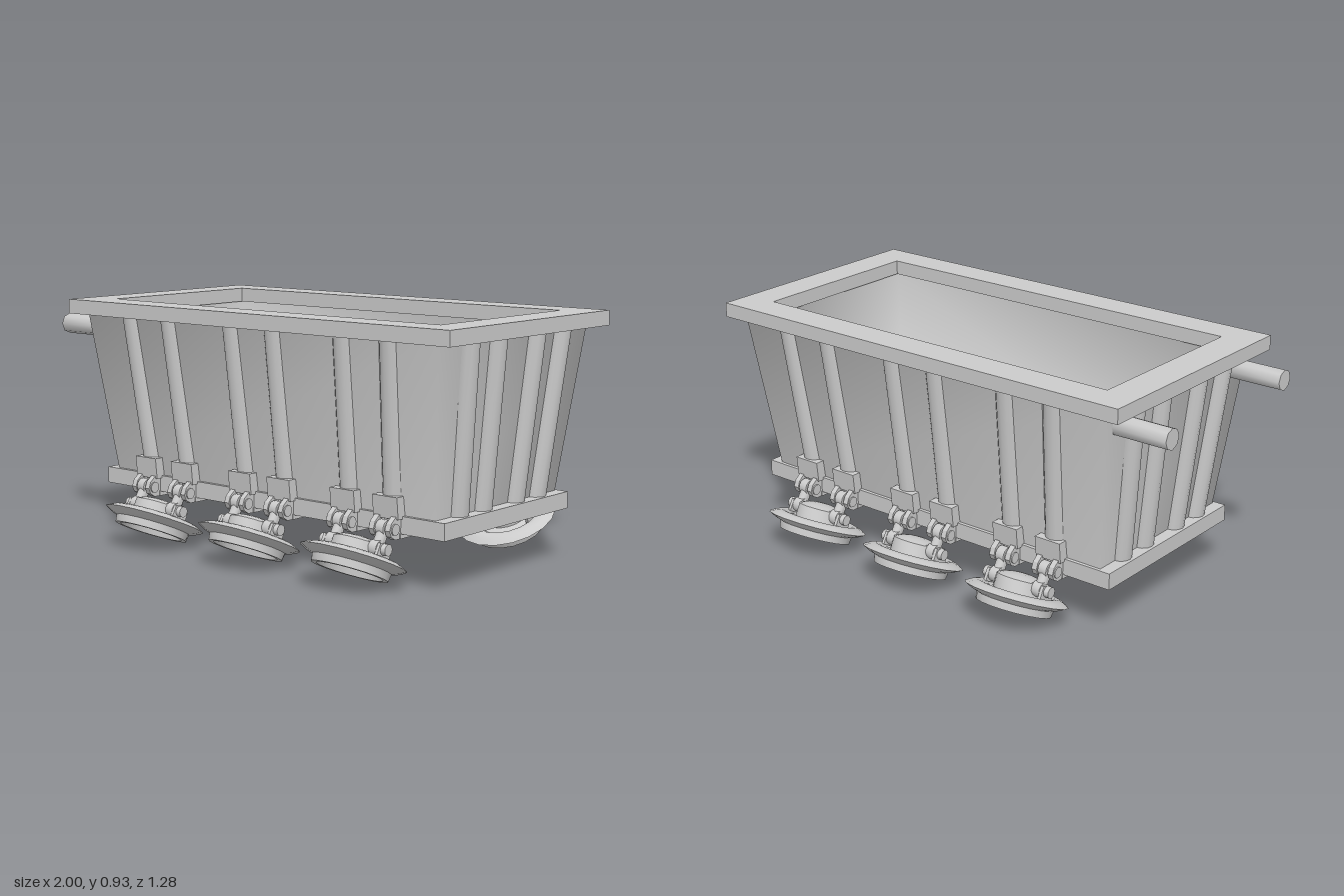
import * as THREE from 'three';
import { toCreasedNormals } from 'three/addons/utils/BufferGeometryUtils.js';

const material = new THREE.MeshStandardMaterial({ color: 0xcccccc, side: THREE.DoubleSide });

function add(parent, name, geometry, x = 0, y = 0, z = 0) {
  const mesh = new THREE.Mesh(geometry, material);
  mesh.name = name;
  mesh.position.set(x, y, z);
  parent.add(mesh);
  return mesh;
}

// Four-sided tapered shell with shared corners; the inner one has a floor and faces inwards
function shell([bx, by, bz], [tx, ty, tz], inner) {
  const ring = (x, y, z) => [-x, y, z, x, y, z, x, y, -z, -x, y, -z];
  const index = [];
  for (let i = 0; i < 4; i++) {
    const j = (i + 1) % 4;
    if (inner) index.push(i, j + 4, j, i, i + 4, j + 4);
    else index.push(i, j, j + 4, i, j + 4, i + 4);
  }
  if (inner) index.push(0, 1, 2, 0, 2, 3);
  const g = new THREE.BufferGeometry();
  g.setAttribute('position', new THREE.Float32BufferAttribute([...ring(bx, by, bz), ...ring(tx, ty, tz)], 3));
  g.setIndex(index);
  g.computeVertexNormals();
  return g;
}

// Round bar between two points
function bar(parent, name, a, b, radius, sides) {
  const from = new THREE.Vector3(...a), to = new THREE.Vector3(...b);
  const geo = toCreasedNormals(new THREE.CylinderGeometry(radius, radius, from.distanceTo(to), sides), 0.85);
  const mesh = add(parent, name, geo);
  mesh.position.copy(from).add(to).multiplyScalar(0.5);
  mesh.quaternion.setFromUnitVectors(new THREE.Vector3(0, 1, 0), to.sub(from).normalize());
}

// Flat plate in the z-y plane, extruded across x around its centre
function plate(points, width) {
  const shape = new THREE.Shape(points.map(([z, y]) => new THREE.Vector2(-z, y)));
  const g = new THREE.ExtrudeGeometry(shape, { depth: width, bevelEnabled: false });
  g.translate(0, 0, -width / 2).rotateY(Math.PI / 2);
  return g;
}

const PIN_TOP = [0.413, 0.217], PIN_LOW = [0.453, 0.152];

// Clevis, link and pins at the foot of one side post
function makeHinge(x) {
  const g = new THREE.Group();
  g.name = 'hinge';
  g.position.x = x;
  add(g, 'collar', plate([[0.36, 0.25], [0.36, 0.33], [0.413, 0.33], [0.405, 0.25]], 0.11));
  add(g, 'footPlate', new THREE.BoxGeometry(0.1, 0.02, 0.175), 0, 0.19, 0.298);
  for (const s of [-1, 1]) {
    add(g, 'cheek', plate([[0.37, 0.18], [0.37, 0.26], [0.407, 0.26], [0.432, 0.24],
      [0.442, 0.215], [0.432, 0.193], [0.41, 0.18]], 0.022), s * 0.036);
    // Lower lugs that straddle the link
    add(g, 'lug', plate([[0.47, 0.178], [0.495, 0.135], [0.43, 0.10], [0.41, 0.14], [0.435, 0.17]], 0.012), s * 0.026);
  }
  bar(g, 'link', [0, PIN_TOP[1], PIN_TOP[0]], [0, PIN_LOW[1], PIN_LOW[0]], 0.022, 10);
  for (const [z, y] of [PIN_TOP, PIN_LOW]) {
    bar(g, 'linkEye', [-0.018, y, z], [0.018, y, z], 0.03, 14);
    bar(g, 'pin', [-0.052, y, z], [0.052, y, z], 0.021, 12);
  }
  return g;
}

// Tilted dish: hub on top, sharp flange, recessed opening beneath
const dishProfile = [
  [0, -0.025], [0.112, -0.025], [0.122, -0.05], [0.141, -0.05], [0.145, -0.022], [0.168, -0.014], [0.195, 0],
  [0.17, 0.014], [0.15, 0.02], [0.132, 0.016], [0.118, 0.006], [0.092, 0.01], [0.09, 0.06],
  [0.065, 0.072], [0.035, 0.078], [0, 0.08],
].map(([r, y]) => new THREE.Vector2(r, y));

function makeDish(x) {
  const geo = toCreasedNormals(new THREE.LatheGeometry(dishProfile, 18), 0.75);
  const dish = new THREE.Mesh(geo, material);
  dish.name = 'dish';
  dish.position.set(x, 0.105, 0.4625);
  dish.rotation.x = THREE.MathUtils.degToRad(-24.5);
  return dish;
}

// One long side: six posts, six hinges, three dishes
function makeSide() {
  const side = new THREE.Group();
  side.name = 'side';
  for (const cx of [-0.497, 0, 0.497]) {
    for (const s of [-1, 1]) {
      const x = cx + s * 0.097;
      bar(side, 'sidePost', [x, 0.25, 0.35], [x * 1.065, 0.89, 0.43], 0.043, 12);
      side.add(makeHinge(x));
    }
    side.add(makeDish(cx));
  }
  return side;
}

// Posts on one end wall
function makeEnd() {
  const end = new THREE.Group();
  end.name = 'end';
  for (const z of [-0.238, -0.1, 0.1, 0.238])
    bar(end, 'endPost', [0.784, 0.25, z], [0.855, 0.89, z * 1.18], 0.041, 12);
  return end;
}

export function createModel() {
  const model = new THREE.Group();
  model.name = 'tub';
  const body = new THREE.Group();
  body.name = 'body';
  body.position.x = 0.067;
  model.add(body);

  // Tub walls and floor
  add(body, 'outerWall', shell([0.787, 0.25, 0.365], [0.858, 0.89, 0.452], false));
  add(body, 'innerWall', shell([0.725, 0.27, 0.3], [0.805, 0.88, 0.375], true));
  add(body, 'basePlate', new THREE.BoxGeometry(1.673, 0.063, 0.76), 0, 0.228, 0);

  // Rim frame with rectangular opening
  const rect = (Path, w, d) => new Path([[-w, -d], [w, -d], [w, d], [-w, d]].map(p => new THREE.Vector2(...p)));
  const rimShape = rect(THREE.Shape, 0.93, 0.488);
  rimShape.holes.push(rect(THREE.Path, 0.797, 0.361));
  const rim = new THREE.ExtrudeGeometry(rimShape, { depth: 0.056, bevelEnabled: false });
  rim.rotateX(-Math.PI / 2);
  add(body, 'rim', rim, 0, 0.875, 0);

  // Sides and ends, repeated by half a turn
  for (const turn of [0, Math.PI]) {
    const side = makeSide(), end = makeEnd();
    side.rotation.y = end.rotation.y = turn;
    side.position.x = 0.007;
    body.add(side, end);
  }

  // Two handle bars at one end
  for (const s of [-1, 1])
    bar(model, 'handle', [-1, 0.82, s * 0.365], [-0.775, 0.82, s * 0.365], 0.04, 8);

  return model;
}
